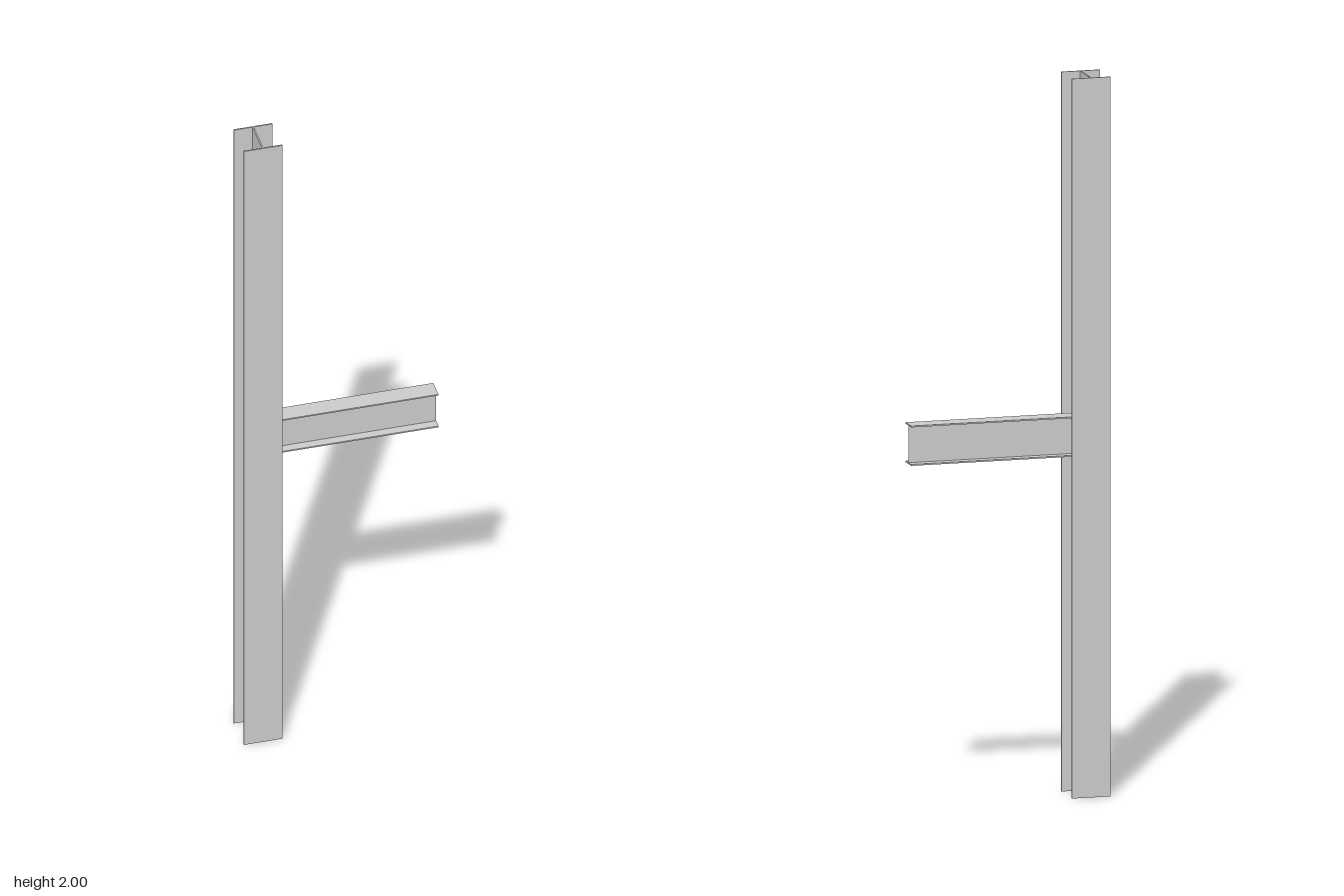
import * as THREE from 'three';

// I-section extruded along +z: width along x, depth along y, centred on the axis
function iBeam(name, width, depth, flange, web, length) {
  const w = width / 2, d = depth / 2, i = d - flange, t = web / 2;
  const shape = new THREE.Shape([
    [-w, -d], [w, -d], [w, -i], [t, -i], [t, i], [w, i],
    [w, d], [-w, d], [-w, i], [-t, i], [-t, -i], [-w, -i],
  ].map(([x, y]) => new THREE.Vector2(x, y)));
  const geometry = new THREE.ExtrudeGeometry(shape, { depth: length, bevelEnabled: false });
  const mesh = new THREE.Mesh(geometry, new THREE.MeshStandardMaterial({ color: 0xcccccc }));
  mesh.name = name;
  return mesh;
}

export function createModel() {
  const group = new THREE.Group();
  group.name = 'steelColumnWithBeam';
  const columnX = -0.2245, columnWeb = 0.004;

  // Upright column, flanges facing front and back
  const column = iBeam('column', 0.109, 0.107, 0.004, columnWeb, 2);
  column.rotation.x = -Math.PI / 2;
  column.position.x = columnX;
  group.add(column);

  // Horizontal beam butting against the column web
  const start = columnX + columnWeb / 2;
  const beam = iBeam('beam', 0.0545, 0.111, 0.004, 0.003, 0.279 - start);
  beam.rotation.y = Math.PI / 2;
  beam.position.set(start, 1, 0);
  group.add(beam);

  return group;
}
